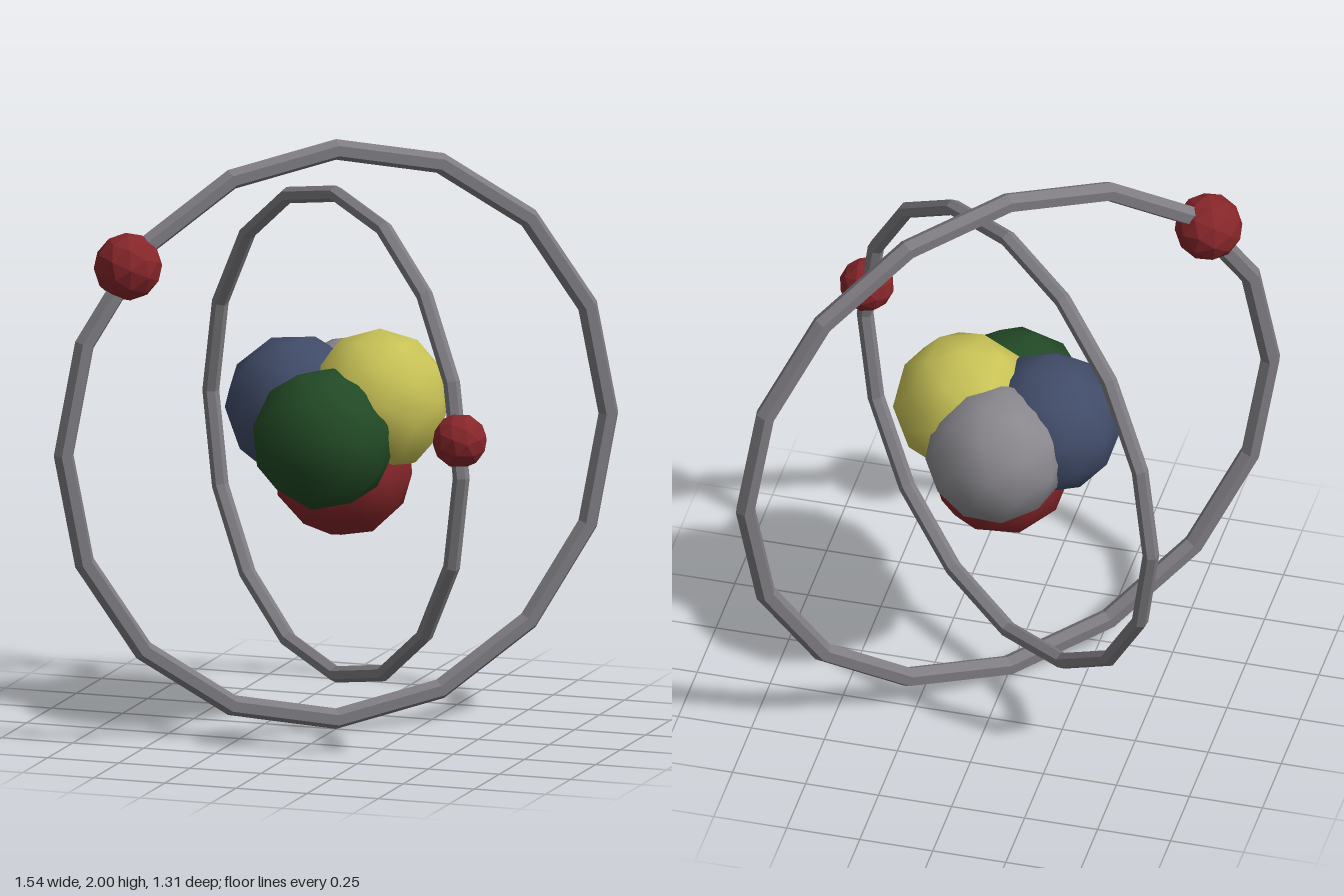
import * as THREE from 'three';
import { mergeVertices } from 'three/addons/utils/BufferGeometryUtils.js';

const material = (name, color, flatShading = false) => {
  const m = new THREE.MeshStandardMaterial({ color, flatShading });
  m.name = name;
  return m;
};

export function createModel() {
  const model = new THREE.Group();
  model.name = 'atom';

  const red = material('red', 0x86262a);
  const green = material('green', 0x224a25);
  const blue = material('blue', 0x414c69);
  const yellow = material('yellow', 0xc8c256);
  const grey = material('grey', 0x8a888d);
  const ringGrey = material('ringGrey', 0x7e7c81, true);
  const electronRed = material('electronRed', 0x86262a, true);

  const add = (name, geometry, mat, parent = model) => {
    const mesh = new THREE.Mesh(geometry, mat);
    mesh.name = name;
    parent.add(mesh);
    return mesh;
  };

  // Nucleus: five overlapping low-poly balls with soft shading
  const nucleus = new THREE.Group();
  nucleus.name = 'nucleus';
  model.add(nucleus);
  const ball = new THREE.IcosahedronGeometry(0.239, 1);
  ball.deleteAttribute('uv');
  ball.deleteAttribute('normal');
  const smoothBall = mergeVertices(ball, 1e-4);
  smoothBall.computeVertexNormals();
  [
    ['frontBall', green, 0.018, 1.02, 0.175],
    ['leftBall', yellow, 0.143, 1.12, -0.02],
    ['rightBall', blue, -0.145, 1.085, -0.01],
    ['bottomBall', red, 0.018, 0.89, -0.02],
    ['backBall', grey, -0.005, 1.06, -0.18],
  ].forEach(([name, mat, x, y, z], i) => {
    const mesh = add(name, smoothBall, mat, nucleus);
    mesh.position.set(x, y, z);
    mesh.rotation.set(0.3 + i * 0.7, 0.5 * i, 0.25);
  });

  // Orbits: upright rings crossing at the top, each carrying one electron
  const orbit = (name, radius, tube, turn, electronAngle, electronRadius) => {
    const group = new THREE.Group();
    group.name = name;
    group.position.y = 1;
    group.rotation.y = turn;
    model.add(group);
    add(name + 'Ring', new THREE.TorusGeometry(radius, tube, 6, 16), ringGrey, group);
    const electron = add(name + 'Electron', new THREE.IcosahedronGeometry(electronRadius, 1), electronRed, group);
    electron.position.set(radius * Math.cos(electronAngle), radius * Math.sin(electronAngle), 0);
    electron.rotation.set(0.2, 0.3, 0.1);
  };
  const deg = Math.PI / 180;
  orbit('outerOrbit', 0.965, 0.035, 40 * deg, 139.8 * deg, 0.114);
  orbit('innerOrbit', 0.815, 0.028, -40 * deg, 8.8 * deg, 0.092);

  return model;
}
